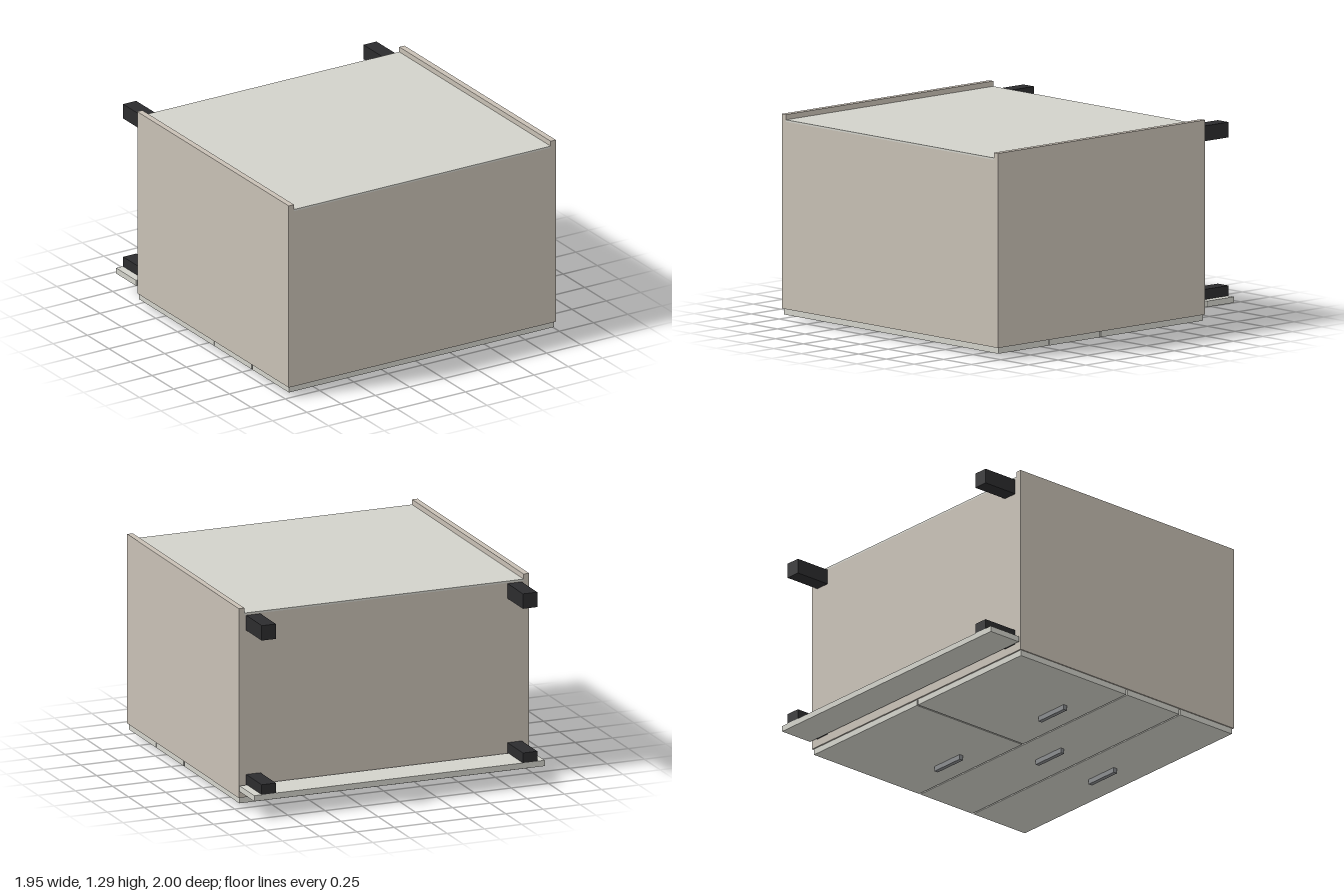
import * as THREE from 'three';

const material = (color) => new THREE.MeshStandardMaterial({ color });

// Cabinet lying on its front: drawers face down, feet point to -z.
export function createModel() {
  const group = new THREE.Group();
  const beige = material(0xc8c0b5);
  const pale = material(0xd2d2ca);
  const black = material(0x2c2c2e);
  const metal = material(0x85878a);

  // Box given by its lower and upper limits on each axis
  const box = (name, mat, [x0, x1], [y0, y1], [z0, z1]) => {
    const mesh = new THREE.Mesh(new THREE.BoxGeometry(x1 - x0, y1 - y0, z1 - z0), mat);
    mesh.position.set((x0 + x1) / 2, (y0 + y1) / 2, (z0 + z1) / 2);
    mesh.name = name;
    group.add(mesh);
  };
  const span = (centre, size) => [centre - size / 2, centre + size / 2];

  // Carcass
  for (const s of [-1, 1]) {
    box(s > 0 ? 'leftSide' : 'rightSide', beige, span(s * 0.956, 0.038), [0.07, 1.29], [-0.755, 1]);
  }
  box('topPanel', beige, [-0.937, 0.937], [0.07, 1.245], [0.962, 1]);
  box('bottomPanel', beige, [-0.937, 0.937], [0.07, 1.245], [-0.755, -0.717]);
  box('backPanel', pale, [-0.937, 0.937], [1.245, 1.257], [-0.755, 1]);

  // Two wide drawers and a pair of doors, each with a bar handle
  const fronts = [
    { name: 'upperDrawer', x: [-0.967, 0.967], z: [0.567, 0.99], handleZ: 0.78 },
    { name: 'lowerDrawer', x: [-0.967, 0.967], z: [0.13, 0.557], handleZ: 0.345 },
    { name: 'leftDoor', x: [0.005, 0.967], z: [-0.745, 0.12], handleZ: -0.06 },
    { name: 'rightDoor', x: [-0.967, -0.005], z: [-0.745, 0.12], handleZ: -0.06 },
  ];
  for (const { name, x, z, handleZ } of fronts) {
    box(name, pale, x, [0.032, 0.07], z);
    box(name + 'Handle', metal, span((x[0] + x[1]) / 2, 0.235), [0, 0.032], span(handleZ, 0.027));
  }

  // Feet
  for (const x of [-0.877, 0.877]) {
    for (const y of [0.168, 1.193]) {
      box('foot', black, span(x, 0.096), span(y, 0.096), [-0.999, -0.755]);
    }
  }

  // Plinth board across the front feet
  box('plinth', pale, [-0.975, 0.975], [0.115, 0.152], [-1, -0.77]);

  return group;
}
